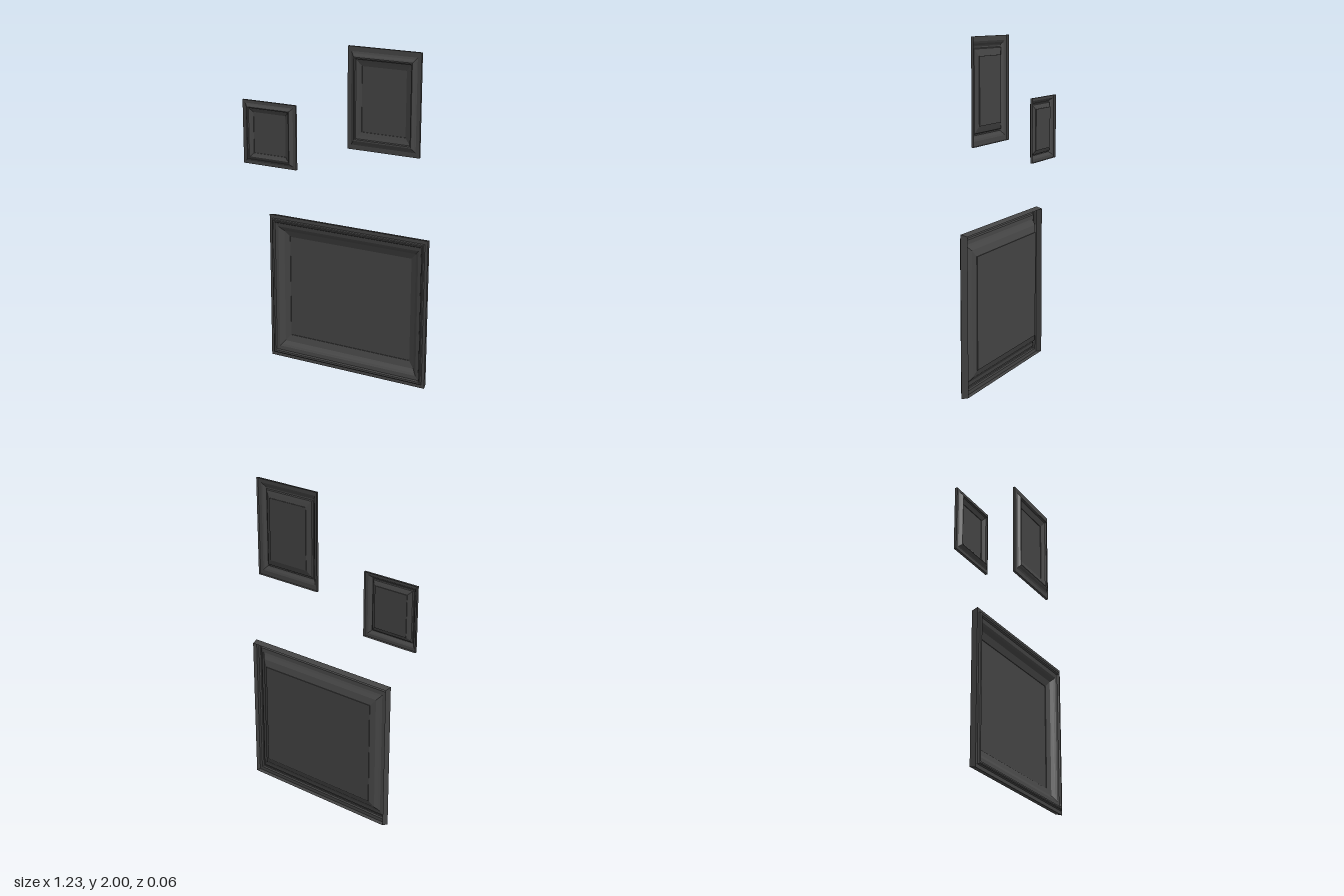
import * as THREE from 'three';

const material = new THREE.MeshStandardMaterial({ color: 0x444444, side: THREE.DoubleSide, flatShading: true });

// Moulding profiles: [fraction of the way from outer edge to panel, z]
const deepProfile = [
  [0.07, -0.025], [0, 0.015], [0.16, 0.015], [0.18, 0.027], [0.22, 0.03], [0.29, 0.028],
  [0.33, 0.018], [0.5, 0.014], [0.58, 0.006], [0.72, -0.012], [1, -0.026], [1, -0.03],
];
const flatProfile = [
  [0, -0.032], [0, -0.017], [0.26, -0.016], [0.36, -0.011], [0.46, -0.002],
  [0.53, 0.002], [0.6, 0.001], [0.64, -0.007], [0.8, -0.013], [1, -0.02], [1, -0.024],
];

// Mitred moulding swept round a rectangle, open at the back
function moulding({ x0, x1, y0, y1, insetX, insetY, profile }) {
  const loops = profile.map(([t, z]) => {
    const dx = t * insetX, dy = t * insetY;
    return [[x0 + dx, y0 + dy, z], [x1 - dx, y0 + dy, z], [x1 - dx, y1 - dy, z], [x0 + dx, y1 - dy, z]];
  });
  const positions = [];
  for (let i = 0; i < loops.length - 1; i++) {
    for (let k = 0; k < 4; k++) {
      const n = (k + 1) % 4;
      const a = loops[i][k], b = loops[i][n], c = loops[i + 1][n], d = loops[i + 1][k];
      positions.push(...a, ...b, ...c, ...a, ...c, ...d);
    }
  }
  const geometry = new THREE.BufferGeometry();
  geometry.setAttribute('position', new THREE.Float32BufferAttribute(positions, 3));
  geometry.computeVertexNormals();
  return geometry;
}

function pictureFrame(name, spec) {
  const { x0, x1, y0, y1, insetX, insetY, profile } = spec;
  const group = new THREE.Group();
  group.name = name;

  const border = new THREE.Mesh(moulding(spec), material);
  border.name = 'moulding';

  // Flat picture panel at the inner edge
  const panel = new THREE.Mesh(new THREE.PlaneGeometry(x1 - x0 - 2 * insetX, y1 - y0 - 2 * insetY), material);
  panel.name = 'picturePanel';
  panel.position.set((x0 + x1) / 2, (y0 + y1) / 2, profile[profile.length - 1][1]);

  group.add(border, panel);
  return group;
}

export function createModel() {
  const model = new THREE.Group();
  model.name = 'pictureFrames';
  model.add(
    pictureFrame('largeFrame', { x0: -0.423, x1: 0.615, y0: 0, y1: 0.932, insetX: 0.117, insetY: 0.14, profile: deepProfile }),
    pictureFrame('tallFrame', { x0: 0.085, x1: 0.535, y0: 1.402, y1: 2, insetX: 0.088, insetY: 0.108, profile: flatProfile }),
    pictureFrame('smallFrame', { x0: -0.615, x1: -0.255, y0: 1.222, y1: 1.615, insetX: 0.071, insetY: 0.07, profile: flatProfile }),
  );
  return model;
}
